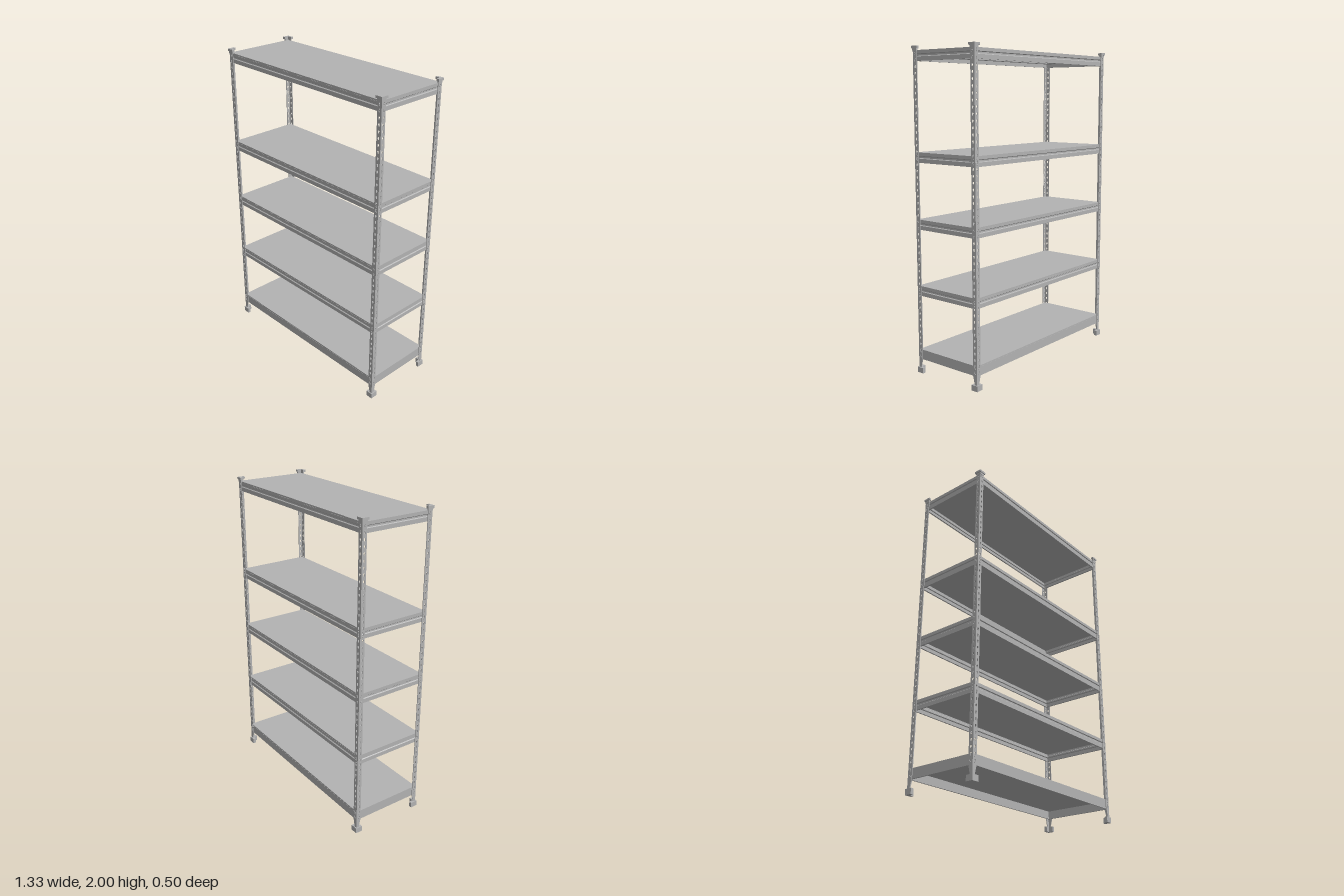
import * as THREE from 'three';

const X = 0.658, Z = 0.243;      // outer corner of the posts
const T = 0.004, W = 0.031;      // post sheet thickness and flange width
const SHELVES = [0.15, 0.557, 0.97, 1.377, 1.975];
const BOARD = 0.009;             // board thickness

const steel = new THREE.MeshStandardMaterial({ color: 0xb2b2b2 });
steel.name = 'grey steel';

function add(parent, geometry, name) {
  const mesh = new THREE.Mesh(geometry, steel);
  mesh.name = name;
  parent.add(mesh);
  return mesh;
}

function polygon(points) {
  return new THREE.Shape(points.map(([x, y]) => new THREE.Vector2(x, y)));
}

// Perforated flange, narrowing towards the foot
function flangeGeometry() {
  const shape = polygon([[0, 0.02], [0, 1.99], [-W, 1.99], [-W, 0.09], [-0.017, 0.03], [-0.017, 0.02]]);
  for (let y = 0.11; y < 1.97; y += 0.0385) {
    const hole = new THREE.Path();
    // Keyhole: round top running into a narrow slot
    hole.moveTo(-0.0135, y - 0.009);
    hole.lineTo(-0.0115, y);
    hole.absarc(-0.0165, y + 0.003, 0.0055, -0.5, Math.PI + 0.5, false);
    hole.lineTo(-0.0195, y - 0.009);
    hole.closePath();
    shape.holes.push(hole);
  }
  return new THREE.ExtrudeGeometry(shape, { depth: T, bevelEnabled: false, curveSegments: 8 }).translate(0, 0, -T);
}

// L-shaped plastic end piece around the post corner
function angleGeometry(outer, length, thick, y, height) {
  const a = outer, b = outer - length, c = outer - thick;
  const shape = polygon([[a, -a], [a, -b], [c, -b], [c, -c], [b, -c], [b, -a]]);
  return new THREE.ExtrudeGeometry(shape, { depth: height, bevelEnabled: false })
    .rotateX(-Math.PI / 2).translate(0, y, 0);
}

// Folded sheet beam along x, outer face at z = 0, top at y = 0
function beamGeometry(length, grooved) {
  const outer = grooved
    ? [[0, 0], [0, -0.011], [-0.005, -0.015], [-0.005, -0.024], [0, -0.028], [0, -0.053]]
    : [[0, 0], [0, -0.053]];
  const lip = [[-0.009, -0.053], [-0.009, -0.05]];
  const inner = outer.map(([d, y]) => [d - 0.003, y === -0.053 ? -0.05 : y]).reverse();
  const shape = polygon([...outer, ...lip, ...inner]);
  return new THREE.ExtrudeGeometry(shape, { depth: length, bevelEnabled: false })
    .translate(0, 0, -length / 2).rotateY(-Math.PI / 2);
}

export function createModel() {
  const model = new THREE.Group();
  model.name = 'shelvingRack';

  // Four corner posts, each turned so its angle opens inwards
  const flange = flangeGeometry();
  const sideFlange = flange.clone().rotateY(-Math.PI / 2).translate(-T, 0, 0);
  const foot = angleGeometry(0.007, 0.046, 0.019, 0, 0.035);
  const cap = angleGeometry(0.007, 0.046, 0.017, 1.986, 0.014);
  const capSleeve = angleGeometry(0.002, 0.034, 0.008, 1.972, 0.014);
  const rivet = new THREE.CylinderGeometry(0.004, 0.005, 0.003, 8).rotateX(Math.PI / 2);
  const sideRivet = rivet.clone().rotateY(Math.PI / 2);
  [[1, 1], [1, -1], [-1, -1], [-1, 1]].forEach(([sx, sz], i) => {
    const post = new THREE.Group();
    post.name = 'cornerPost';
    post.position.set(sx * X, 0, sz * Z);
    post.rotation.y = i * Math.PI / 2;
    add(post, flange, 'postFlange');
    add(post, sideFlange, 'postSideFlange');
    add(post, foot, 'foot');
    add(post, cap, 'topCap');
    add(post, capSleeve, 'capSleeve');
    for (const top of SHELVES) {
      for (const y of [top - 0.018, top - 0.049]) {
        add(post, rivet, 'rivet').position.set(-0.0165, y, 0.0015);
        add(post, sideRivet, 'sideRivet').position.set(0.0015, y, -0.0165);
      }
    }
    model.add(post);
  });

  // Shelves: a board resting on four folded beams
  const bx = X - T, bz = Z - T;
  const board = new THREE.BoxGeometry(2 * bx, BOARD, 2 * bz - 0.002);
  SHELVES.forEach((top, i) => {
    const shelf = new THREE.Group();
    shelf.name = 'shelf';
    shelf.position.y = top;
    add(shelf, board, 'shelfBoard').position.y = -BOARD / 2;
    const longBeam = beamGeometry(2 * bx - 0.002, i > 0);
    const shortBeam = beamGeometry(2 * bz - 0.002, i > 0);
    for (let k = 0; k < 4; k++) {
      const isLong = k % 2 === 0;
      const side = k < 2 ? 1 : -1;
      const beam = add(shelf, isLong ? longBeam : shortBeam, isLong ? 'longBeam' : 'endBeam');
      beam.rotation.y = k * Math.PI / 2;
      beam.position.set(isLong ? 0 : side * bx, -BOARD, isLong ? side * bz : 0);
    }
    model.add(shelf);
  });

  return model;
}
